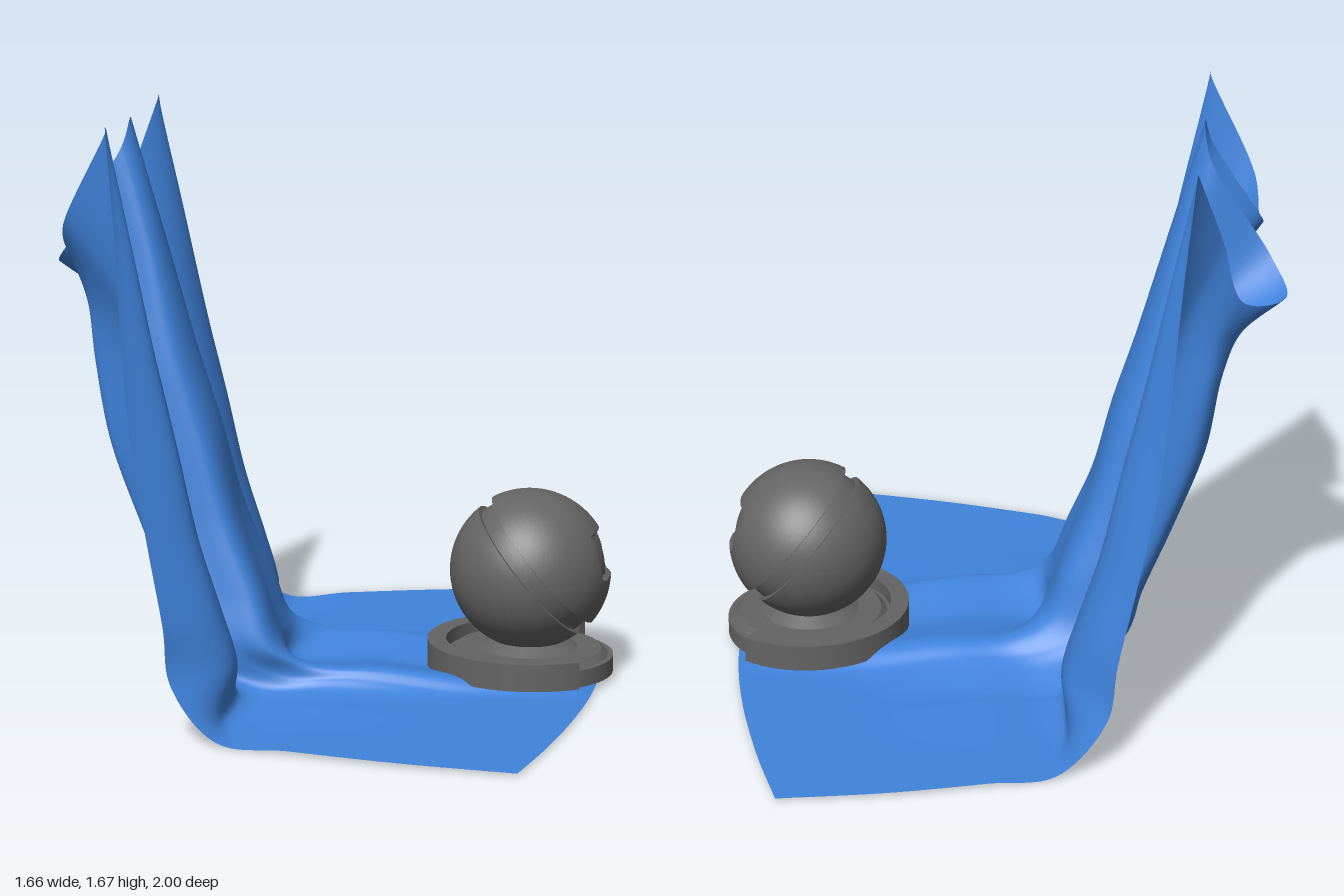
import * as THREE from 'three';
import { toCreasedNormals } from 'three/addons/utils/BufferGeometryUtils.js';

const { lerp, smoothstep, degToRad } = THREE.MathUtils;

// Cloth columns from the +z edge to the -z edge: top x, y, z, foot z, hem z,
// fold depth at top and foot (0 ridge, 1 valley), floor fold height
const COLUMNS = [
  [-0.58, 1.67, 0.52, 0.76, 1.0, 0.2, 0.9, 0],
  [-0.58, 1.66, 0.50, 0.57, 0.78, 0.05, 0.35, 0],
  [-0.72, 1.39, 0.41, 0.43, 0.55, 0.35, 0.4, 0.01],
  [-0.74, 1.30, 0.27, 0.36, 0.35, 1.0, 0.95, 0.02],
  [-0.75, 1.34, 0.16, 0.35, 0.27, 0.8, 0.5, 0.05],
  [-0.60, 1.57, 0.155, 0.34, 0.2, 0.25, 0.0, 0.08],
  [-0.58, 1.655, 0.10, 0.12, 0.0, 0.0, 0.0, 0.05],
  [-0.60, 1.56, 0.03, -0.12, -0.2, 0.25, 0.05, 0.08],
  [-0.78, 1.28, 0.01, -0.17, -0.28, 0.8, 0.6, 0.05],
  [-0.83, 1.20, -0.10, -0.20, -0.36, 1.0, 0.95, 0.03],
  [-0.71, 1.22, -0.21, -0.28, -0.45, 0.9, 0.85, 0.01],
  [-0.65, 1.42, -0.26, -0.31, -0.55, 0.3, 0.4, 0.01],
  [-0.58, 1.66, -0.39, -0.50, -0.78, 0.05, 0.35, 0],
  [-0.58, 1.67, -0.41, -0.74, -1.0, 0.2, 0.9, 0],
];
// Wall levels: height, ridge x, valley x, blend from top to foot
const LEVELS = [
  [0.15, -0.14, -0.40, 1],
  [0.30, -0.19, -0.45, 0.86],
  [0.50, -0.26, -0.53, 0.68],
  [0.75, -0.32, -0.62, 0.53],
  [0.98, -0.39, -0.66, 0.4],
];

// One cloth strip, from the front hem along the floor and up to its top
function columnCurve([topX, topY, topZ, footZ, hemZ, topDepth, footDepth, fold]) {
  const hemX = 0.79 - (hemZ > 0 ? 0.19 : 0.26) * Math.abs(hemZ) ** 1.6;
  const creaseX = lerp(-0.24, -0.04, Math.min(1, fold / 0.08));
  const point = (x, y, z) => new THREE.Vector3(x, y, z);
  const points = [
    point(hemX, 0.006, hemZ),
    point(lerp(creaseX, hemX, 0.6), 0.008 + Math.max(0, fold - 0.045) * 0.9, lerp(footZ, hemZ, 0.78)),
    point(lerp(creaseX, hemX, 0.25), 0.01 + fold * 0.85, lerp(footZ, hemZ, 0.5)),
    point(creaseX, 0.012 + fold, lerp(footZ, hemZ, 0.28)),
  ];
  for (const [y, ridge, valley, k] of LEVELS) {
    points.push(point(lerp(ridge, valley, lerp(topDepth, footDepth, k)), y, lerp(topZ, footZ, k)));
  }
  // Valleys droop backwards at the top, ridges run straight to their peaks
  const last = points[points.length - 1];
  const lean = lerp(0.55, 0.3, topDepth);
  points.push(point(lerp(last.x, topX, lean), lerp(last.y, topY, 0.55), lerp(last.z, topZ, 0.55)));
  points.push(point(topX, topY, topZ));
  return new THREE.CatmullRomCurve3(points);
}

function clothGeometry(rows = 120, across = 156) {
  const curves = COLUMNS.map(columnCurve);
  const positions = [];
  const index = [];
  for (let j = 0; j <= rows; j++) {
    const section = new THREE.CatmullRomCurve3(curves.map((c) => c.getPoint(j / rows)));
    for (let i = 0; i <= across; i++) {
      const p = section.getPoint(i / across);
      positions.push(p.x, Math.max(p.y, 0), p.z);
      if (j < rows && i < across) {
        const a = j * (across + 1) + i;
        const b = a + across + 1;
        index.push(a, a + 1, b, a + 1, b + 1, b);
      }
    }
  }
  const geometry = new THREE.BufferGeometry();
  geometry.setAttribute('position', new THREE.Float32BufferAttribute(positions, 3));
  geometry.setIndex(index);
  geometry.computeVertexNormals();
  return geometry;
}

// Ball with a tilted groove and a rounded window pressed into its outer shell
function ballGeometry() {
  const bands = [[-90, 0, 0.235, 36], [0, 12, 0.22, 4], [12, 90, 0.24, 64]];
  const profile = [];
  for (const [from, to, radius, steps] of bands) {
    for (let i = 0; i <= steps; i++) {
      const a = degToRad(lerp(from, to, i / steps));
      profile.push(new THREE.Vector2(Math.max(0, Math.cos(a) * radius), Math.sin(a) * radius));
    }
  }
  const geometry = new THREE.LatheGeometry(profile, 160);
  geometry.rotateZ(degToRad(-50));
  const position = geometry.attributes.position;
  const p = new THREE.Vector3();
  for (let i = 0; i < position.count; i++) {
    p.fromBufferAttribute(position, i);
    if (p.x < 0 || p.length() < 0.238) continue;
    const dz = Math.max(Math.abs(p.z) - 0.075, 0);
    const dy = Math.max(Math.abs(p.y - 0.06) - 0.038, 0);
    p.setLength(lerp(0.222, 0.24, smoothstep(Math.hypot(dz, dy) - 0.028, -0.003, 0.003)));
    position.setXYZ(i, p.x, p.y, p.z);
  }
  return toCreasedNormals(geometry, 0.6);
}

// Open ring around the stand, with its gap towards +x
function ringGeometry() {
  const start = degToRad(58);
  const end = Math.PI * 2 - start;
  const shape = new THREE.Shape();
  shape.absarc(0, 0, 0.3, start, end, false);
  shape.absarc(0, 0, 0.245, end, start, true);
  const geometry = new THREE.ExtrudeGeometry(shape, { depth: 0.08, bevelEnabled: false, curveSegments: 64 });
  geometry.rotateX(-Math.PI / 2);
  return toCreasedNormals(geometry, 0.5);
}

export function createModel() {
  const model = new THREE.Group();
  const blue = new THREE.MeshStandardMaterial({ color: 0x4083dc, side: THREE.DoubleSide });
  blue.name = 'blue cloth';
  const grey = new THREE.MeshStandardMaterial({ color: 0x646464 });
  grey.name = 'dark grey';

  const add = (parent, name, geometry, material, y = 0) => {
    const mesh = new THREE.Mesh(geometry, material);
    mesh.name = name;
    mesh.position.y = y;
    parent.add(mesh);
  };

  // Draped backdrop
  add(model, 'clothBackdrop', clothGeometry(), blue);

  // Ball on its stand
  const ballStand = new THREE.Group();
  ballStand.name = 'ballStand';
  ballStand.position.x = 0.58;
  add(ballStand, 'ball', ballGeometry(), grey, 0.32);
  add(ballStand, 'standRing', ringGeometry(), grey, 0.03);
  add(ballStand, 'standDisc', new THREE.CylinderGeometry(0.25, 0.25, 0.05, 80), grey, 0.043);
  add(ballStand, 'standDish', new THREE.CylinderGeometry(0.215, 0.235, 0.02, 80), grey, 0.077);
  add(ballStand, 'standNeck', new THREE.CylinderGeometry(0.1, 0.15, 0.03, 64), grey, 0.1);
  model.add(ballStand);
  return model;
}
